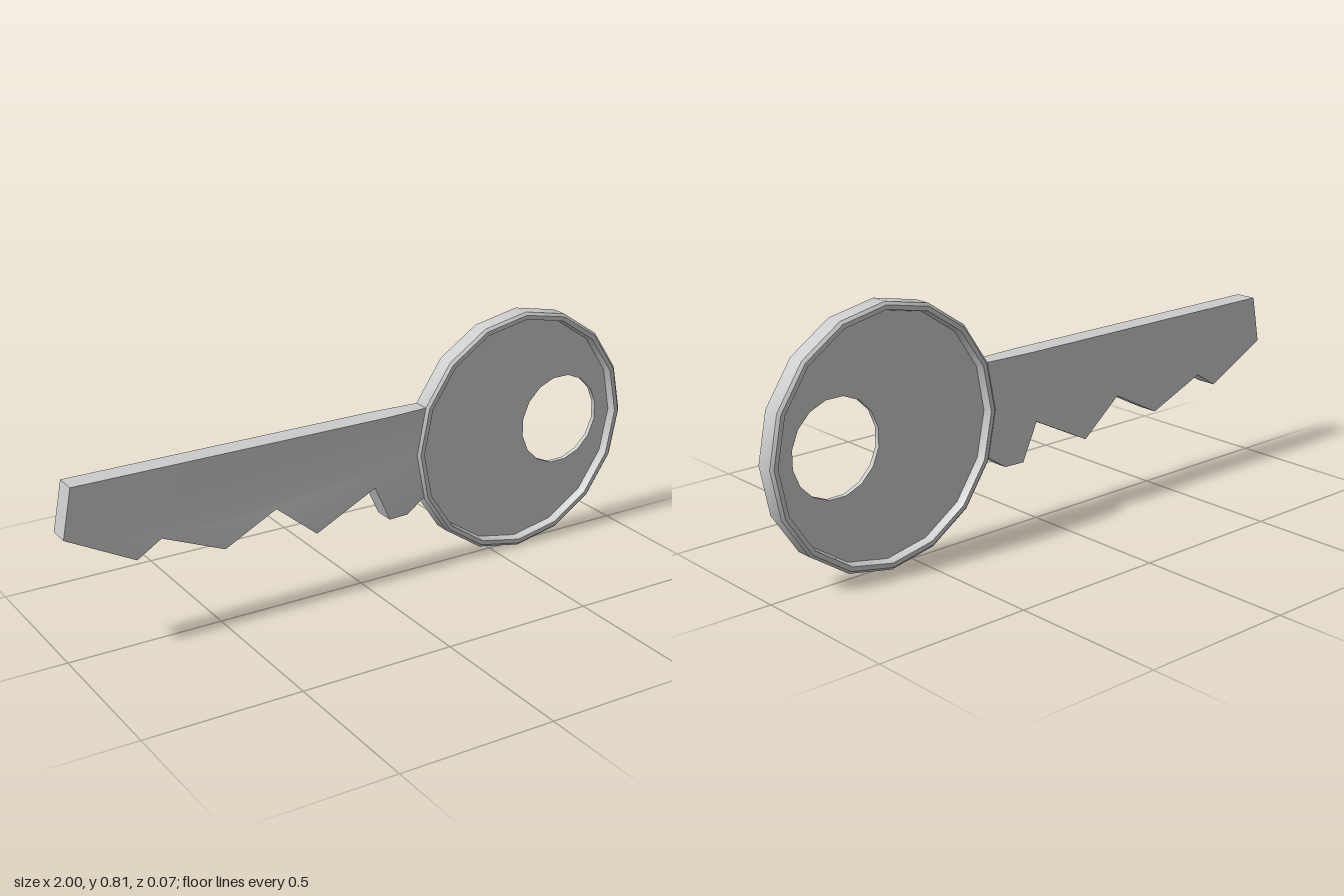
import * as THREE from 'three';
import { toCreasedNormals } from 'three/addons/utils/BufferGeometryUtils.js';

const SIDES = 16;
const BOW_X = 0.595, BOW_Y = 0.406;

// Regular polygon corners around a centre
function ring(cx, cy, r, offset = 0) {
  return Array.from({ length: SIDES }, (_, i) => {
    const a = ((i + offset) / SIDES) * Math.PI * 2;
    return new THREE.Vector2(cx + Math.cos(a) * r, cy + Math.sin(a) * r);
  });
}

// Flat plate centred on z = 0
function plate(shape, thickness) {
  const g = new THREE.ExtrudeGeometry(shape, { depth: thickness, bevelEnabled: false });
  return g.translate(0, 0, -thickness / 2);
}

export function createModel() {
  const key = new THREE.Group();
  key.name = 'key';
  const metal = new THREE.MeshStandardMaterial({ color: 0xcccccc });

  function add(name, geometry) {
    const mesh = new THREE.Mesh(toCreasedNormals(geometry, Math.PI / 6), metal);
    mesh.name = name;
    key.add(mesh);
    return mesh;
  }

  // Toothed blade, thinning slightly where it meets the bow
  const outline = [
    [-0.97, 0.56], [-1, 0.405], [-0.78, 0.29], [-0.7, 0.34], [-0.495, 0.255],
    [-0.32, 0.345], [-0.18, 0.23], [0.03, 0.335], [0.085, 0.215], [0.155, 0.215],
    [0.22, 0.26], [0.208, 0.41], [0.225, 0.56], [0.06, 0.56],
  ].map(([x, y]) => new THREE.Vector2(x, y));
  const blade = plate(new THREE.Shape(outline), 0.07);
  const p = blade.attributes.position;
  for (let i = 0; i < p.count; i++) {
    const t = THREE.MathUtils.clamp((p.getX(i) - 0.08) / 0.13, 0, 1);
    p.setZ(i, p.getZ(i) * (1 - 0.25 * t));
  }
  add('blade', blade);

  // Raised rim of the bow with chamfered outer edges
  const profile = [
    [0.376, -0.008], [0.382, -0.035], [0.396, -0.035], [0.405, -0.027],
    [0.405, 0.027], [0.396, 0.035], [0.382, 0.035], [0.376, 0.008], [0.376, -0.008],
  ].map(([r, h]) => new THREE.Vector2(r, h));
  const rim = new THREE.LatheGeometry(profile, SIDES);
  rim.rotateX(Math.PI / 2).translate(BOW_X, BOW_Y, 0);
  add('bowRim', rim);

  // Thin recessed web of the bow with the off-centre ring hole
  const web = new THREE.Shape(ring(BOW_X, BOW_Y, 0.378));
  web.holes.push(new THREE.Path(ring(0.764, 0.41, 0.151, 0.5)));
  add('bowWeb', plate(web, 0.016));

  return key;
}
